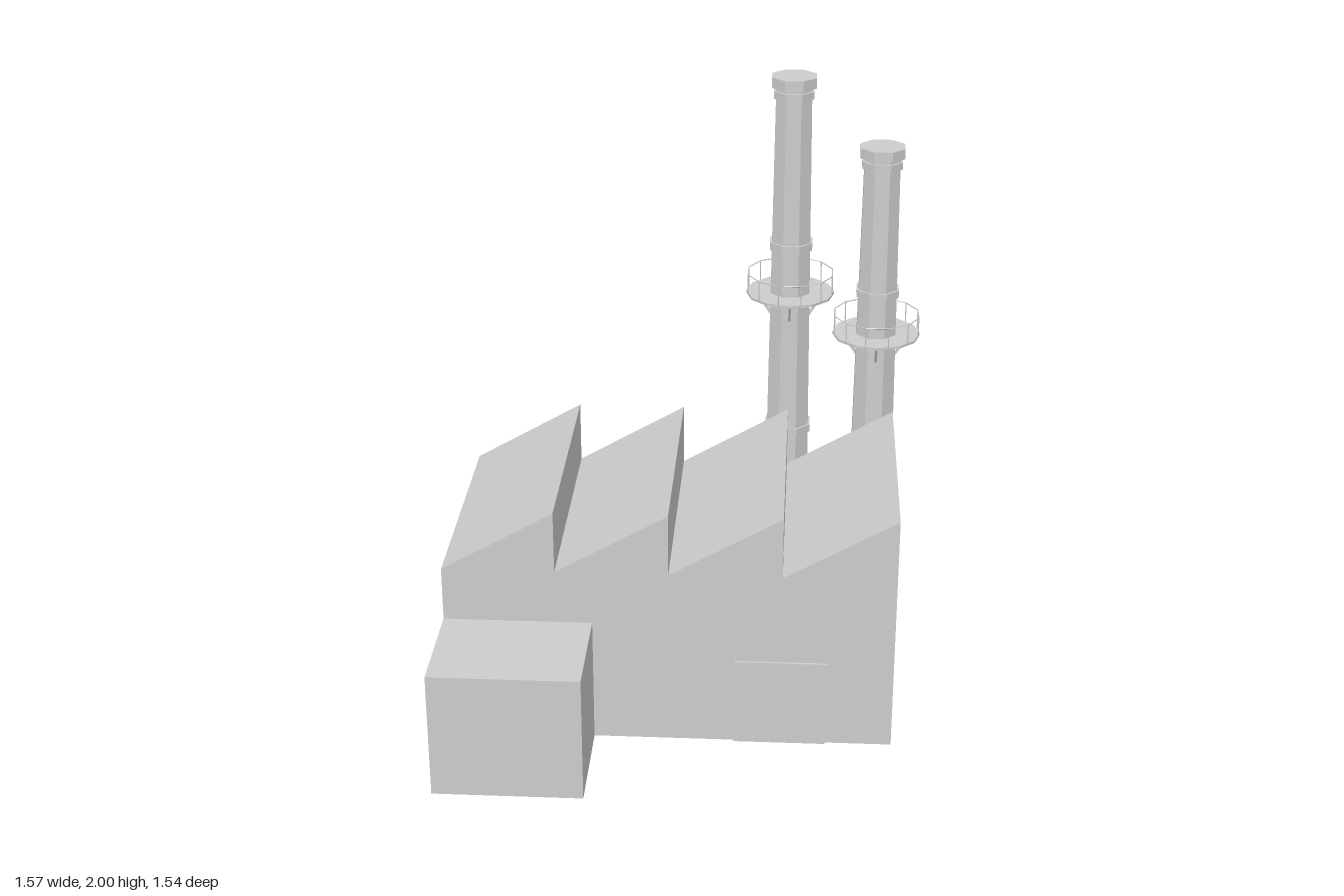
import * as THREE from 'three';

const concrete = new THREE.MeshStandardMaterial({ color: 0xcccccc, flatShading: true });
concrete.name = 'concrete grey';

function add(parent, name, geometry, x = 0, y = 0, z = 0) {
  const mesh = new THREE.Mesh(geometry, concrete);
  mesh.name = name;
  mesh.position.set(x, y, z);
  parent.add(mesh);
  return mesh;
}

// Box given by its minimum and maximum corners
function block(parent, name, [x0, y0, z0], [x1, y1, z1]) {
  return add(parent, name, new THREE.BoxGeometry(x1 - x0, y1 - y0, z1 - z0),
    (x0 + x1) / 2, (y0 + y1) / 2, (z0 + z1) / 2);
}

// Straight bar between two points
function bar(parent, name, a, b, radius, sides, turn = 0) {
  const dir = b.clone().sub(a);
  const geometry = new THREE.CylinderGeometry(radius, radius, dir.length(), sides);
  geometry.rotateY(turn);
  const mesh = add(parent, name, geometry);
  mesh.position.copy(a).add(b).multiplyScalar(0.5);
  mesh.quaternion.setFromUnitVectors(new THREE.Vector3(0, 1, 0), dir.normalize());
  return mesh;
}

// Octagonal prism with flats on the axes, sized by its half width
function octagon(parent, name, bottom, top, y0, y1) {
  const k = 1 / Math.cos(Math.PI / 8);
  const geometry = new THREE.CylinderGeometry(top * k, bottom * k, y1 - y0, 8);
  geometry.rotateY(Math.PI / 8);
  return add(parent, name, geometry, 0, (y0 + y1) / 2, 0);
}

const polar = (r, angle, y) => new THREE.Vector3(r * Math.cos(angle), y, r * Math.sin(angle));

function makePlatform(y) {
  const platform = new THREE.Group();
  platform.name = 'platform';
  platform.position.y = y;
  add(platform, 'platformDeck', new THREE.CylinderGeometry(0.155, 0.155, 0.009, 12));

  // Railing of twelve posts and a top rail
  const count = 12, step = Math.PI * 2 / count;
  for (let i = 0; i < count; i++) {
    const a = (i + 0.5) * step;
    bar(platform, 'railPost', polar(0.153, a, 0), polar(0.153, a, 0.075), 0.002, 4);
    bar(platform, 'topRail', polar(0.153, a, 0.075), polar(0.153, a + step, 0.075), 0.002, 4);
  }

  // Diagonal supports
  for (let i = 0; i < 4; i++) {
    const a = i * Math.PI / 2;
    bar(platform, 'platformBrace', polar(0.118, a, -0.003), polar(0.062, a, -0.09), 0.006, 4, Math.PI / 4);
  }
  return platform;
}

function makeChimney(x, height, deckY, bands) {
  const chimney = new THREE.Group();
  chimney.name = 'chimney';
  chimney.position.set(x, 0, -0.615);
  octagon(chimney, 'chimneyShaft', 0.081, 0.061, 0, height - 0.02);
  octagon(chimney, 'chimneyCap', 0.076, 0.076, height - 0.036, height);
  octagon(chimney, 'upperCollar', 0.069, 0.069, height - 0.074, height - 0.048);
  for (const y of bands) {
    const r = 0.081 - 0.02 * y / height + 0.007;
    octagon(chimney, 'chimneyBand', r, r, y - 0.014, y + 0.014);
  }
  chimney.add(makePlatform(deckY));
  return chimney;
}

export function createModel() {
  const factory = new THREE.Group();
  factory.name = 'factory';

  // Main hall with a saw-tooth roof
  const x0 = -0.785, x1 = 0.695, teeth = 4, pitch = (x1 - x0) / teeth;
  const profile = new THREE.Shape();
  profile.moveTo(x1, 0);
  for (let i = teeth; i > 0; i--) {
    profile.lineTo(x0 + i * pitch, 0.83);
    profile.lineTo(x0 + (i - 1) * pitch, 0.617);
  }
  profile.lineTo(x0, 0);
  profile.closePath();
  add(factory, 'mainHall',
    new THREE.ExtrudeGeometry(profile, { depth: 0.86, bevelEnabled: false }), 0, 0, -0.46);

  // Front annex and loading door
  block(factory, 'frontAnnex', [-0.785, 0, 0.4], [-0.295, 0.433, 0.77]);
  block(factory, 'loadingDoor', [0.17, 0, 0.4], [0.475, 0.305, 0.409]);

  // Chimneys
  factory.add(makeChimney(0.323, 2, 1.217, [1.397, 0.705]));
  factory.add(makeChimney(0.631, 1.757, 1.067, [1.227, 0.62]));

  // Duct along the back wall, square in section and set on edge
  bar(factory, 'duct', new THREE.Vector3(-0.785, 0.371, -0.462),
    new THREE.Vector3(0.323, 0.371, -0.621), 0.025, 4);

  return factory;
}
